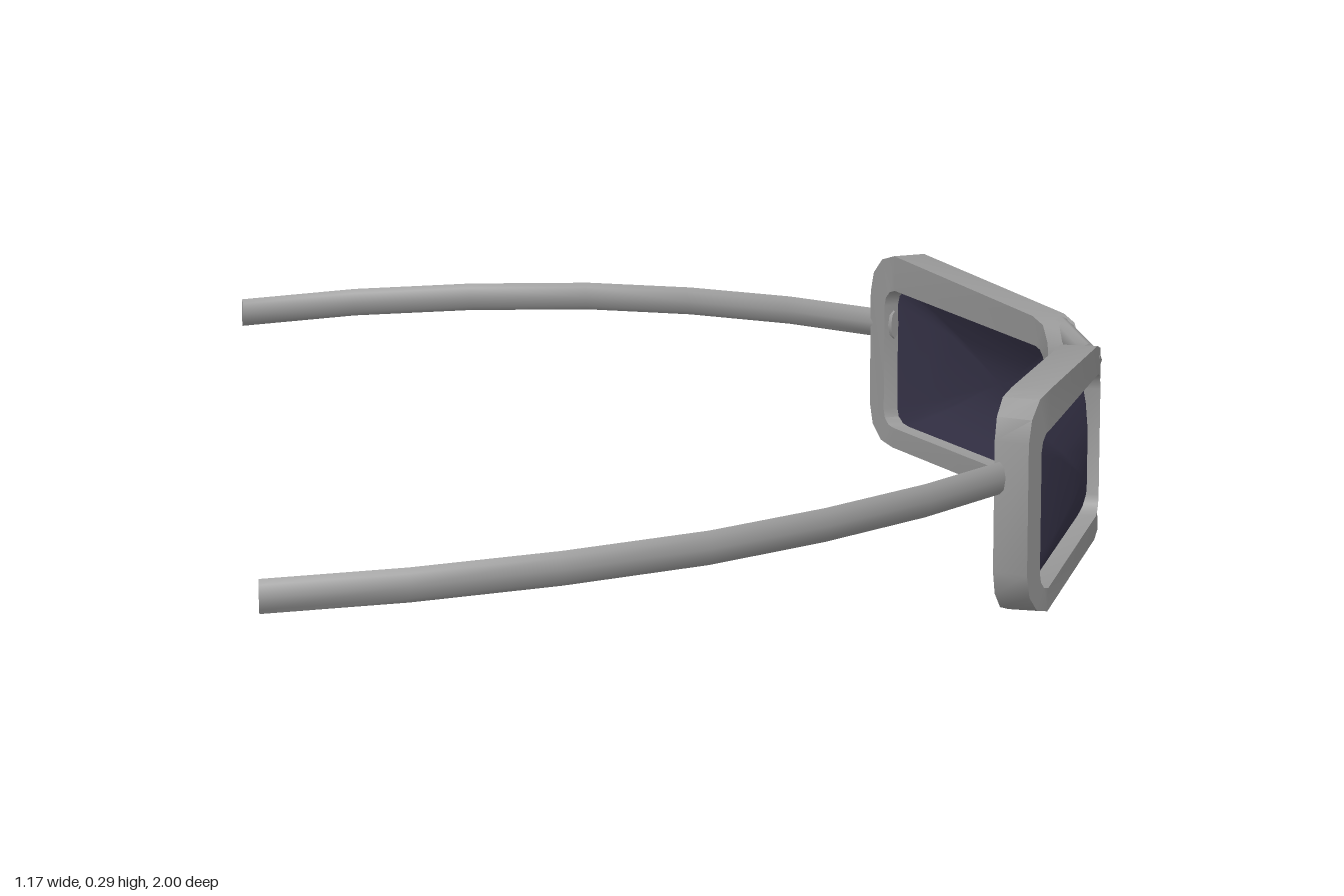
import * as THREE from 'three';
import { toCreasedNormals } from 'three/addons/utils/BufferGeometryUtils.js';

// Surface through successive rings of points; sign -1 mirrors it across z = 0
function loft(rings, crease, sign = 1) {
  const n = rings[0].length, pos = [], index = [];
  for (const ring of rings) for (const p of ring) pos.push(p.x, p.y, p.z * sign);
  for (let r = 0; r < rings.length - 1; r++) {
    for (let i = 0; i < n; i++) {
      const j = (i + 1) % n;
      const a = r * n + i, b = r * n + j, c = b + n, d = a + n;
      if (sign > 0) index.push(a, d, c, a, c, b);
      else index.push(a, c, d, a, b, c);
    }
  }
  const geo = new THREE.BufferGeometry();
  geo.setAttribute('position', new THREE.Float32BufferAttribute(pos, 3));
  geo.setIndex(index);
  return toCreasedNormals(geo, crease);
}

// Oval rod along a path, capped at both ends
function rod(points, width, height, sides, sign) {
  const up = new THREE.Vector3(0, 1, 0);
  const rings = points.map((p, i) => {
    const t = points[Math.min(i + 1, points.length - 1)].clone().sub(points[Math.max(i - 1, 0)]);
    const side = up.clone().cross(t).normalize();
    return Array.from({ length: sides }, (_, k) => {
      const a = (k / sides) * Math.PI * 2;
      return p.clone().addScaledVector(side, Math.cos(a) * width).addScaledVector(up, -Math.sin(a) * height);
    });
  });
  const cap = (p) => Array.from({ length: sides }, () => p.clone());
  return loft([cap(points[0]), ...rings, cap(points[points.length - 1])], 0.95, sign);
}

// Rounded four-sided outline in z and y, the top sloping down to the nose
function outline(nose, outer, bottom, topNose, topOuter, r) {
  const corners = [
    [nose + r, bottom + r], [nose + r, topNose - r],
    [outer - r, topOuter - r], [outer - r, bottom + r],
  ];
  const pts = [];
  corners.forEach(([z, y], q) => {
    for (let k = 0; k <= 3; k++) {
      const a = (q - 1 + k / 3) * Math.PI / 2;
      pts.push([z - r * Math.cos(a), y + r * Math.sin(a)]);
    }
  });
  return pts;
}

// Put an outline point on the wrapped front surface, offset along its normal
function wrap(z, y, depth) {
  const x = z < 0.54 ? Math.min(0.572, 0.425 + (0.54 - z) * 0.327) : 0.425 - (z - 0.54) * 0.62;
  const a = 0.32 + 0.38 * THREE.MathUtils.clamp((z - 0.54) / 0.065, 0, 1);
  return new THREE.Vector3(x + depth * Math.cos(a), y, z + depth * Math.sin(a));
}

export function createModel() {
  const model = new THREE.Group();
  const frameGrey = new THREE.MeshStandardMaterial({ color: 0x999999 });
  frameGrey.name = 'frame grey';
  const lensTint = new THREE.MeshStandardMaterial({ color: 0x363348, side: THREE.DoubleSide });
  lensTint.name = 'lens tint';
  const add = (name, geo, mat) => {
    const mesh = new THREE.Mesh(geo, mat);
    mesh.name = name;
    model.add(mesh);
  };

  const rimOuter = outline(0.07, 0.605, 0, 0.268, 0.289, 0.06);
  const rimInner = outline(0.095, 0.568, 0.03, 0.227, 0.237, 0.025);
  const ring = (pts, depth) => pts.map(([z, y]) => wrap(z, y, depth));

  // Domed lens, from its edge to the middle
  const lensRings = [1, 0.75, 0.5, 0.25, 0].map((u) => rimInner.map(([z, y]) =>
    wrap(0.33 + (z - 0.33) * u, 0.13 + (y - 0.13) * u, -0.025 + 0.036 * (1 - u ** 1.7))).reverse());

  // Temple sweeping back from the rim
  const temple = [
    [0.38, 0.182, 0.55], [0.355, 0.182, 0.575], [0.24, 0.181, 0.7], [0.1, 0.178, 0.815],
    [-0.05, 0.173, 0.905], [-0.23, 0.165, 0.963], [-0.41, 0.155, 0.989], [-0.585, 0.143, 0.98],
  ].map((p) => new THREE.Vector3(...p));

  for (const [side, sign] of [['right', 1], ['left', -1]]) {
    add(side + 'Rim', loft([
      ring(rimOuter, 0), ring(rimOuter, -0.05), ring(rimInner, -0.05), ring(rimInner, 0), ring(rimOuter, 0),
    ], 0.6, sign), frameGrey);
    add(side + 'Lens', loft(lensRings, 0.6, sign), lensTint);
    add(side + 'Temple', rod(temple, 0.009, 0.021, 8, sign), frameGrey);
  }

  // Nose bridge, dipping in the middle
  const bridge = [-0.11, -0.075, -0.04, 0, 0.04, 0.075, 0.11].map((z) => {
    const k = (z / 0.11) ** 2;
    return new THREE.Vector3(0.569 - 0.018 * k, 0.23 + 0.02 * k, z);
  });
  add('bridge', rod(bridge, 0.015, 0.018, 8, 1), frameGrey);

  return model;
}
